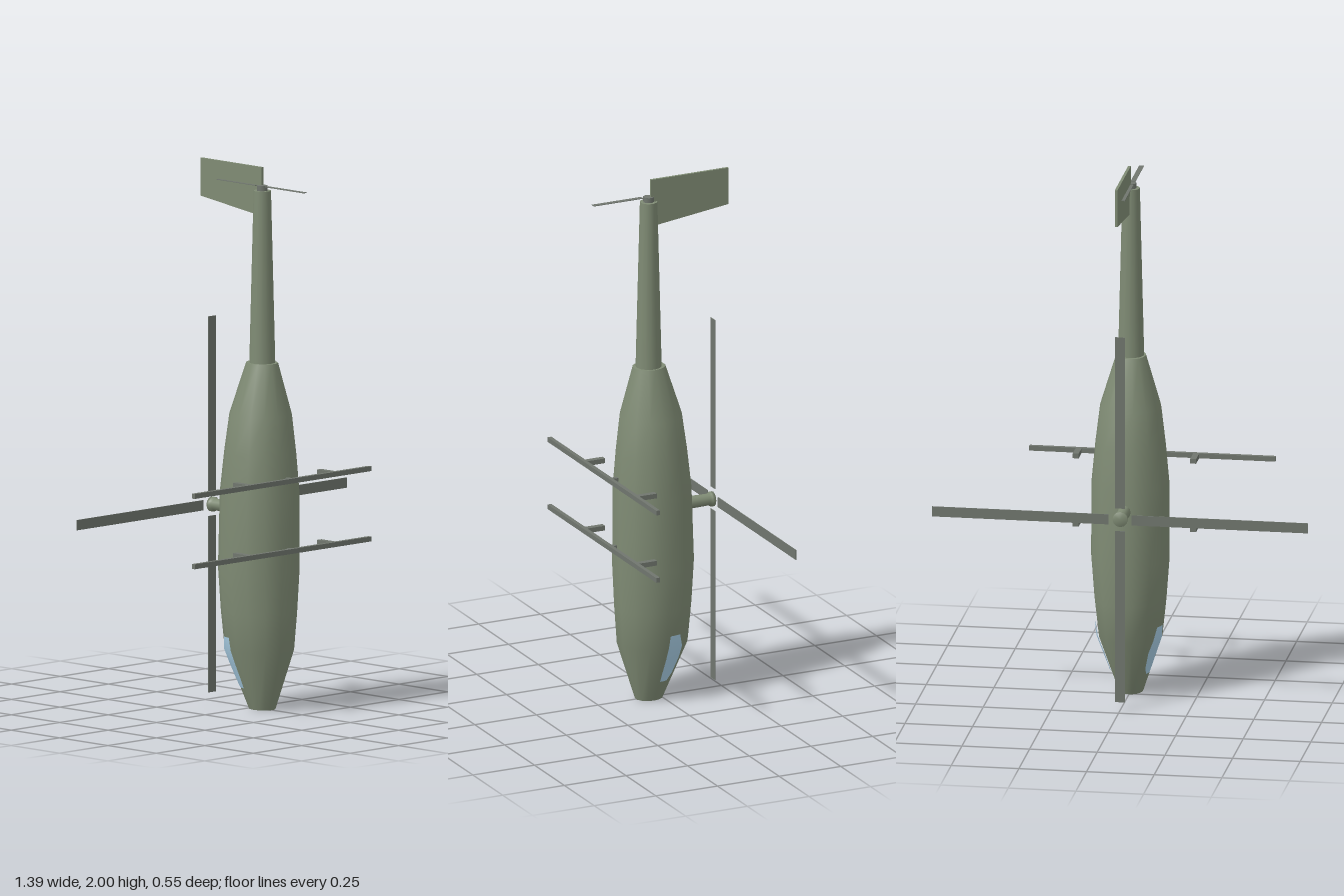
import * as THREE from 'three';

const paint = (color, side = THREE.FrontSide) => new THREE.MeshStandardMaterial({ color, side });
const hull = paint(0x7f8b74);
const metal = paint(0x70766e);
const glass = paint(0xa9cfe6, THREE.DoubleSide);

// Hull stations: height, half width, front z, back z
const stations = [
  [0, 0.044, 0.097, -0.008], [0.22, 0.118, 0.165, -0.105], [0.36, 0.133, 0.174, -0.118],
  [0.52, 0.145, 0.181, -0.127], [0.8, 0.144, 0.18, -0.117], [0.95, 0.13, 0.168, -0.1],
  [1.09, 0.113, 0.153, -0.08], [1.28, 0.055, 0.106, -0.018],
];

// Point on the hull at a height and angle, optionally swollen outwards
function hullPoint(y, angle, swell = 1) {
  let i = 0;
  while (i < stations.length - 2 && y > stations[i + 1][0]) i++;
  const [a, b] = [stations[i], stations[i + 1]];
  const t = (y - a[0]) / (b[0] - a[0]);
  const [w, f, k] = [1, 2, 3].map((n) => THREE.MathUtils.lerp(a[n], b[n], t));
  return [w * swell * Math.cos(angle), y, (f + k) / 2 + ((f - k) / 2) * swell * Math.sin(angle)];
}

// Smooth surface through rows of points
function skin(rows) {
  const n = rows[0].length, index = [];
  for (let r = 0; r < rows.length - 1; r++) {
    for (let c = 0; c < n - 1; c++) {
      const p = r * n + c;
      index.push(p, p + n, p + 1, p + 1, p + n, p + n + 1);
    }
  }
  const g = new THREE.BufferGeometry();
  g.setAttribute('position', new THREE.Float32BufferAttribute(rows.flat(2), 3));
  g.setIndex(index);
  g.computeVertexNormals();
  return g;
}

function add(parent, name, geometry, material, x = 0, y = 0, z = 0) {
  const mesh = new THREE.Mesh(geometry, material);
  mesh.name = name;
  mesh.position.set(x, y, z);
  parent.add(mesh);
  return mesh;
}

export function createModel() {
  const model = new THREE.Group();
  model.name = 'helicopter';

  // Fuselage, 14 sided with smooth shading
  const sides = 14;
  const ring = (y) => Array.from({ length: sides + 1 }, (_, i) => hullPoint(y, (i / sides) * Math.PI * 2));
  const body = skin(stations.map((s) => ring(s[0])));
  const normals = body.attributes.normal;
  for (let r = 0; r < stations.length; r++) { // blend normals over the seam
    const a = r * (sides + 1), b = a + sides;
    const n = new THREE.Vector3().fromBufferAttribute(normals, a)
      .add(new THREE.Vector3().fromBufferAttribute(normals, b)).normalize();
    normals.setXYZ(a, n.x, n.y, n.z);
    normals.setXYZ(b, n.x, n.y, n.z);
  }
  add(model, 'fuselage', body, hull);

  // End caps of the fuselage
  for (const [name, s, turn] of [['noseCap', stations[0], 1], ['rearCap', stations.at(-1), -1]]) {
    const cap = add(model, name, new THREE.CircleGeometry(1, sides), hull, 0, s[0], (s[2] + s[3]) / 2);
    cap.rotation.x = (turn * Math.PI) / 2;
    cap.scale.set(s[1], (s[2] - s[3]) / 2, 1);
  }

  // Side windows near the nose: height, start angle, end angle
  const pane = [[0.08, -0.06, -0.4], [0.11, -0.05, -0.55], [0.17, -0.06, -0.58], [0.22, -0.05, -0.5], [0.27, -0.08, -0.38]];
  for (const [name, side, shift] of [['leftWindow', 1, 0], ['rightWindow', -1, -0.15]]) {
    const rows = pane.map(([y, from, to]) => Array.from({ length: 5 }, (_, i) => {
      const p = hullPoint(y, THREE.MathUtils.lerp(from, to, i / 4) + shift, side > 0 ? 1.05 : 1.035);
      return [p[0] * side, p[1], p[2]];
    }));
    add(model, name, skin(rows), glass);
  }

  // Tail boom
  add(model, 'tailBoom', new THREE.CylinderGeometry(0.032, 0.048, 0.645, sides), hull, 0, 1.5925, 0.045);

  // Tail fin, drawn in the z-y plane
  const finShape = new THREE.Shape([[-0.04, 1.82], [0.275, 1.86], [0.275, 2], [-0.04, 2]]
    .map(([u, v]) => new THREE.Vector2(u, v)));
  const fin = new THREE.ExtrudeGeometry(finShape, { depth: 0.01, bevelEnabled: false });
  fin.rotateY(Math.PI / 2);
  add(model, 'tailFin', fin, hull);

  // Tail rotor
  for (const side of [-1, 1]) {
    add(model, 'tailRotorBlade', new THREE.BoxGeometry(0.018, 0.002, 0.2), metal, -0.003, 1.932, 0.045 + side * 0.125);
  }
  add(model, 'tailRotorHub', new THREE.CylinderGeometry(0.02, 0.02, 0.02, 10), metal, 0, 1.924, 0.045);

  // Main rotor on its mast behind the back
  const rotor = new THREE.Group();
  rotor.name = 'mainRotor';
  rotor.position.set(0, 0.727, -0.216);
  model.add(rotor);
  const blade = new THREE.BoxGeometry(0.652, 0.038, 0.003).translate(0.369, 0, 0);
  for (let i = 0; i < 4; i++) add(rotor, 'rotorBlade', blade, metal).rotation.z = (i * Math.PI) / 2;
  const mast = new THREE.LatheGeometry([[0, 0], [0.028, 0], [0.028, 0.012], [0.022, 0.02], [0.024, 0.12]]
    .map(([r, h]) => new THREE.Vector2(r, h)), 12);
  mast.rotateX(Math.PI / 2);
  add(rotor, 'rotorMast', mast, paint(0x7f8b74, THREE.DoubleSide));

  // Landing skids with short struts
  for (const y of [0.6, 0.86]) {
    add(model, 'skidBar', new THREE.BoxGeometry(0.91, 0.018, 0.015), metal, -0.055, y, 0.2);
    for (const x of [-0.217, 0.217]) {
      add(model, 'skidStrut', new THREE.BoxGeometry(0.022, 0.018, 0.083), metal, x, y, 0.163);
    }
    add(model, 'skidCenterStrut', new THREE.BoxGeometry(0.016, 0.016, 0.04), metal, 0, y, 0.185);
  }
  return model;
}
